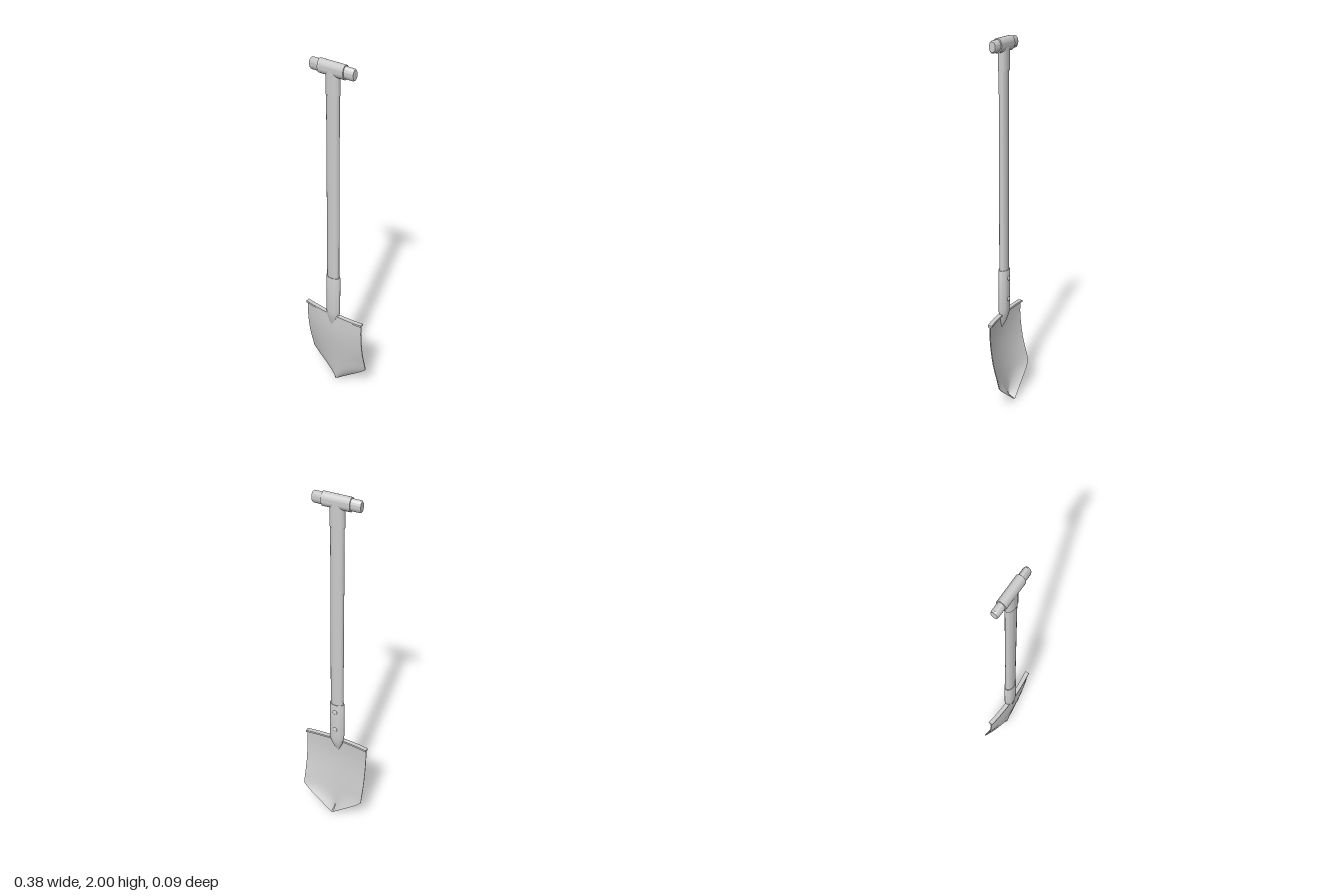
import * as THREE from 'three';
import { toCreasedNormals } from 'three/addons/utils/BufferGeometryUtils.js';

const AXIS_Z = 0.018; // depth of the shaft's centre line
const material = new THREE.MeshStandardMaterial({ color: 0xcccccc, side: THREE.DoubleSide });

function add(parent, name, geometry) {
  const mesh = new THREE.Mesh(geometry, material);
  mesh.name = name;
  parent.add(mesh);
  return mesh;
}

// Turned part with an oval section: profile of [radius, height], from bottom to top
function turned(profile, flatten) {
  const geo = new THREE.LatheGeometry(profile.map(([r, y]) => new THREE.Vector2(r, y)), 32);
  geo.scale(1, 1, flatten);
  return toCreasedNormals(geo, 0.6);
}

// Solid skin over equal-sized closed rings of points, with flat caps on the ends
function loft(rings, crease) {
  const n = rings[0].length;
  const index = [];
  for (let r = 0; r < rings.length - 1; r++) {
    for (let i = 0; i < n; i++) {
      const j = (i + 1) % n;
      const a = r * n + i, b = r * n + j, c = a + n, d = b + n;
      index.push(a, c, b, b, c, d);
    }
  }
  // Each ring runs out along its front and home along its back
  const last = (rings.length - 1) * n;
  for (let i = 0; i < n / 2 - 1; i++) {
    const a = i, b = i + 1, c = n - 2 - i, d = n - 1 - i;
    index.push(a, b, c, a, c, d);
    index.push(last + a, last + c, last + b, last + a, last + d, last + c);
  }
  const geo = new THREE.BufferGeometry();
  geo.setAttribute('position', new THREE.Float32BufferAttribute(rings.flat(2), 3));
  geo.setIndex(index);
  return toCreasedNormals(geo, crease);
}

// Ring made of a front line and the same line set back by a thickness
function sheetRing(point, thickness, steps = 20) {
  const front = [], back = [];
  for (let i = 0; i <= steps; i++) {
    const [x, y, z] = point((2 * i) / steps - 1);
    front.push([x, y, z]);
    back.unshift([x, y, z - thickness]);
  }
  return front.concat(back);
}

function bladeGeometry() {
  // height, half width, depth at the middle, depth at the sides
  const rows = [
    [0.522, 0.185, 0.033, 0.013], [0.46, 0.185, 0.036, 0.014], [0.4, 0.185, 0.036, 0.01],
    [0.35, 0.185, 0.033, 0.004], [0.3, 0.185, 0.028, -0.004], [0.25, 0.185, 0.022, -0.016],
    [0.2, 0.185, 0.016, -0.03], [0.16, 0.184, 0.011, -0.039], [0.13, 0.155, 0.008, -0.041],
    [0.1, 0.119, 0.005, -0.042], [0.07, 0.082, 0.003, -0.042], [0.045, 0.051, 0.001, -0.042],
    [0.02, 0.02, 0, -0.042], [0.004, 0.003, -0.001, -0.042],
  ];
  const rings = rows.map(([y, w, middle, side]) => {
    const lift = 0.024 * Math.max(0, 1 - y / 0.12); // the middle stops short of the point
    return sheetRing((u) => [u * w, y + lift * (1 - u * u), middle + (side - middle) * u * u], 0.005);
  });
  return loft(rings, 0.7);
}

// Narrow tread bent along the top of the blade
function treadGeometry() {
  const rings = [0.526, 0.515].map((y) =>
    sheetRing((u) => [u * 0.188, y, 0.036 - 0.014 * u * u], 0.024));
  return loft(rings, 0.6);
}

// Socket whose lower end narrows to a tongue lying on the blade
function socketGeometry() {
  const geo = turned([
    [0, 0.43], [0.008, 0.445], [0.018, 0.465], [0.028, 0.488], [0.037, 0.512],
    [0.042, 0.535], [0.043, 0.56], [0.043, 0.772], [0.041, 0.779], [0.037, 0.779],
  ], 0.62);
  const p = geo.attributes.position;
  for (let i = 0; i < p.count; i++) {
    const t = THREE.MathUtils.clamp((0.55 - p.getY(i)) / 0.12, 0, 1);
    p.setZ(i, p.getZ(i) + AXIS_Z + 0.015 * t * t);
  }
  return geo;
}

export function createModel() {
  const model = new THREE.Group();
  model.name = 'shovel';

  // Blade and tread
  add(model, 'blade', bladeGeometry());
  add(model, 'tread', treadGeometry());

  // Socket with two rivets through it
  add(model, 'socket', socketGeometry());
  for (const y of [0.61, 0.73]) {
    const rivet = add(model, 'rivet', new THREE.SphereGeometry(0.013, 16, 10));
    rivet.scale.z = 0.55;
    rivet.position.set(0, y, -0.008);
  }

  // Shaft
  const shaft = add(model, 'shaft', turned([[0, 0.56], [0.037, 0.56], [0.037, 1.86], [0, 1.86]], 0.61));
  shaft.position.z = AXIS_Z;

  // T-shaped handle: neck, sleeve and cross grip
  const handle = new THREE.Group();
  handle.name = 'handle';
  handle.position.z = AXIS_Z;
  model.add(handle);
  add(handle, 'neck', turned([[0.036, 1.836], [0.041, 1.836], [0.04, 1.965]], 0.64));

  const sleeve = add(handle, 'sleeve', turned([[0, -0.075], [0.037, -0.075], [0.037, 0.075], [0, 0.075]], 0.7));
  const grip = add(handle, 'grip', turned([
    [0, -0.128], [0.026, -0.128], [0.031, -0.121], [0.031, 0.121], [0.026, 0.128], [0, 0.128],
  ], 0.66));
  for (const part of [sleeve, grip]) {
    part.rotation.z = Math.PI / 2;
    part.position.y = 1.963;
  }
  return model;
}
